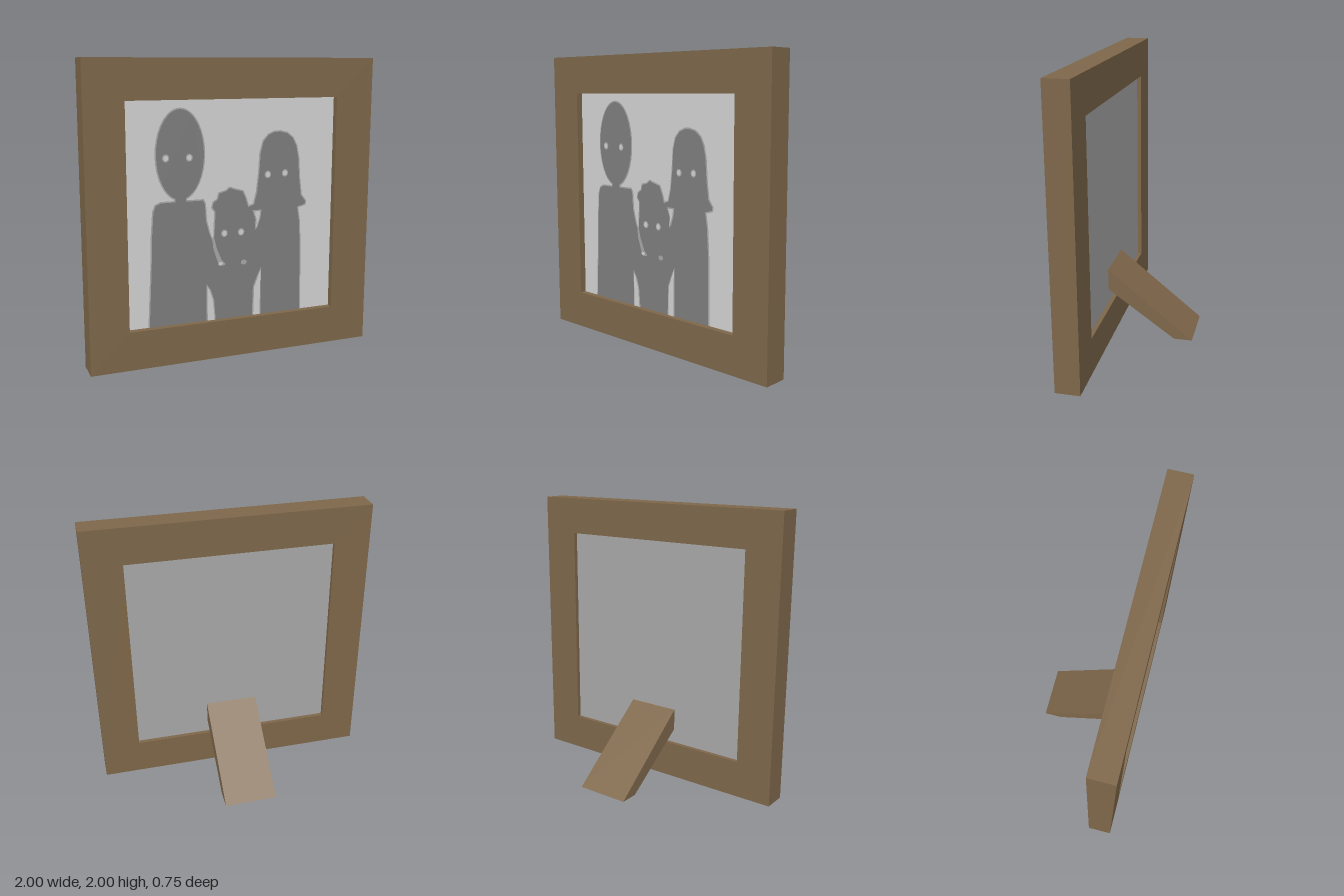
import * as THREE from 'three';

const mat = (name, color, extra = {}) => {
  const m = new THREE.MeshStandardMaterial({ color, ...extra });
  m.name = name;
  return m;
};

// Closed polygon moved inwards by d (corners mitred, long mitres limited)
function inset(points, d) {
  const p = points.map(([x, y]) => new THREE.Vector2(x, y));
  if (THREE.ShapeUtils.isClockWise(p)) p.reverse();
  const n = p.length;
  return p.map((c, i) => {
    const a = c.clone().sub(p[(i + n - 1) % n]).normalize();
    const b = p[(i + 1) % n].clone().sub(c).normalize();
    const na = new THREE.Vector2(-a.y, a.x), nb = new THREE.Vector2(-b.y, b.x);
    const m = na.add(nb).normalize();
    return c.clone().addScaledVector(m, d / Math.max(0.6, m.dot(nb)));
  });
}

function ellipse(cx, cy, rx, ry, n = 14) {
  return Array.from({ length: n }, (_, i) => {
    const t = (i / n) * Math.PI * 2;
    return [cx + rx * Math.cos(t), cy + ry * Math.sin(t)];
  });
}

export function createModel() {
  const group = new THREE.Group();
  const wood = mat('brown wood', 0x7e674a);
  const pale = mat('pale grey', 0xd3d3d3);
  const mid = mat('mid grey', 0xa8a8a8);
  const dark = mat('dark grey', 0x7e7e7e);

  const add = (name, geometry, material) => {
    const mesh = new THREE.Mesh(geometry, material);
    mesh.name = name;
    group.add(mesh);
  };
  const flat = (name, points, z, material, d = 0) =>
    add(name, new THREE.ShapeGeometry(new THREE.Shape(inset(points, d))).translate(0, 0, z), material);

  // Square frame with a window
  const outer = new THREE.Shape([[-1, 0], [1, 0], [1, 2], [-1, 2]].map(p => new THREE.Vector2(...p)));
  outer.holes.push(new THREE.Path(
    [[-0.74, 0.26], [-0.74, 1.74], [0.73, 1.74], [0.73, 0.26]].map(p => new THREE.Vector2(...p))));
  add('frame', new THREE.ExtrudeGeometry(outer, { depth: 0.17, bevelEnabled: false }).translate(0, 0, 0.21), wood);

  // Picture panel, recessed on both sides: pale front, grey back
  add('picturePanel', new THREE.BoxGeometry(1.47, 1.48, 0.095).translate(-0.005, 1, 0.2875),
    [mid, mid, mid, mid, pale, mid]);

  // Sloping stand at the back, profile drawn as (z, y)
  const prop = new THREE.Shape(
    [[0.245, 0.518], [0.245, 0.365], [-0.24, 0.02], [-0.37, 0.02]].map(p => new THREE.Vector2(...p)));
  add('stand', new THREE.ExtrudeGeometry(prop, { depth: 0.38, bevelEnabled: false })
    .rotateY(-Math.PI / 2).translate(0.19, 0, 0), wood);

  // Silhouettes: grey outline below, dark shape above (ends hide inside the frame)
  const bodies = [
    [-0.605, 0.24], [-0.585, 0.65], [-0.58, 0.85], [-0.567, 1.03], [-0.55, 1.075], [-0.51, 1.093],
    [-0.42, 1.093], [-0.42, 1.15], [-0.33, 1.15], [-0.33, 1.093], [-0.215, 1.093], [-0.2, 1.06],
    [-0.193, 0.95], [-0.172, 0.87], [-0.15, 0.80], [-0.148, 0.9], [-0.143, 1.0], [-0.165, 1.03],
    [-0.155, 1.07], [-0.125, 1.09], [-0.115, 1.13], [-0.06, 1.145], [-0.035, 1.165], [0.01, 1.15],
    [0.065, 1.135], [0.09, 1.08], [0.105, 1.03], [0.135, 1.04], [0.155, 1.12], [0.17, 1.25],
    [0.178, 1.38], [0.2, 1.46], [0.24, 1.505], [0.285, 1.523], [0.33, 1.525], [0.385, 1.512],
    [0.43, 1.475], [0.458, 1.42], [0.475, 1.34], [0.485, 1.2], [0.5, 1.08], [0.535, 1.035],
    [0.53, 1.005], [0.475, 0.99], [0.49, 0.9], [0.5, 0.72], [0.505, 0.24],
  ];
  const head = ellipse(-0.375, 1.39, 0.17, 0.3, 36);
  for (const [name, shape] of [['familyBodies', bodies], ['tallHead', head]]) {
    flat(name + 'Outline', shape, 0.337, mid);
    flat(name, shape, 0.339, dark, 0.009);
  }

  // Gaps between the figures
  const gaps = {
    leftLegGap: [[-0.2, 0.24], [-0.2, 0.515], [-0.17, 0.475], [-0.145, 0.4], [-0.132, 0.24]],
    rightLegGap: [[0.132, 0.24], [0.138, 0.46], [0.165, 0.53], [0.197, 0.595], [0.197, 0.24]],
    armGap: [[0.13, 0.995], [0.197, 0.995], [0.19, 0.94], [0.165, 0.87], [0.148, 0.86], [0.152, 0.93]],
  };
  for (const [name, shape] of Object.entries(gaps)) {
    flat(name + 'Edge', shape, 0.341, mid);
    flat(name, shape, 0.343, pale, 0.009);
  }
  flat('chinLine', [[-0.16, 0.83], [-0.15, 0.75], [-0.115, 0.65], [-0.085, 0.63], [-0.06, 0.64],
    [-0.09, 0.67], [-0.125, 0.75], [-0.145, 0.83]], 0.341, mid);
  flat('chinSpot', ellipse(-0.1, 0.647, 0.017, 0.012), 0.343, pale);
  flat('cheekSpot', ellipse(0.07, 0.642, 0.022, 0.017), 0.341, mid);

  // Eyes
  for (const [x, y] of [[-0.473, 1.372], [-0.315, 1.37], [0.24, 1.232], [0.367, 1.236], [-0.072, 0.853], [0.048, 0.853]]) {
    flat('eyeEdge', ellipse(x, y, 0.024, 0.026), 0.341, mid);
    flat('eye', ellipse(x, y, 0.016, 0.018), 0.343, pale);
  }
  return group;
}
